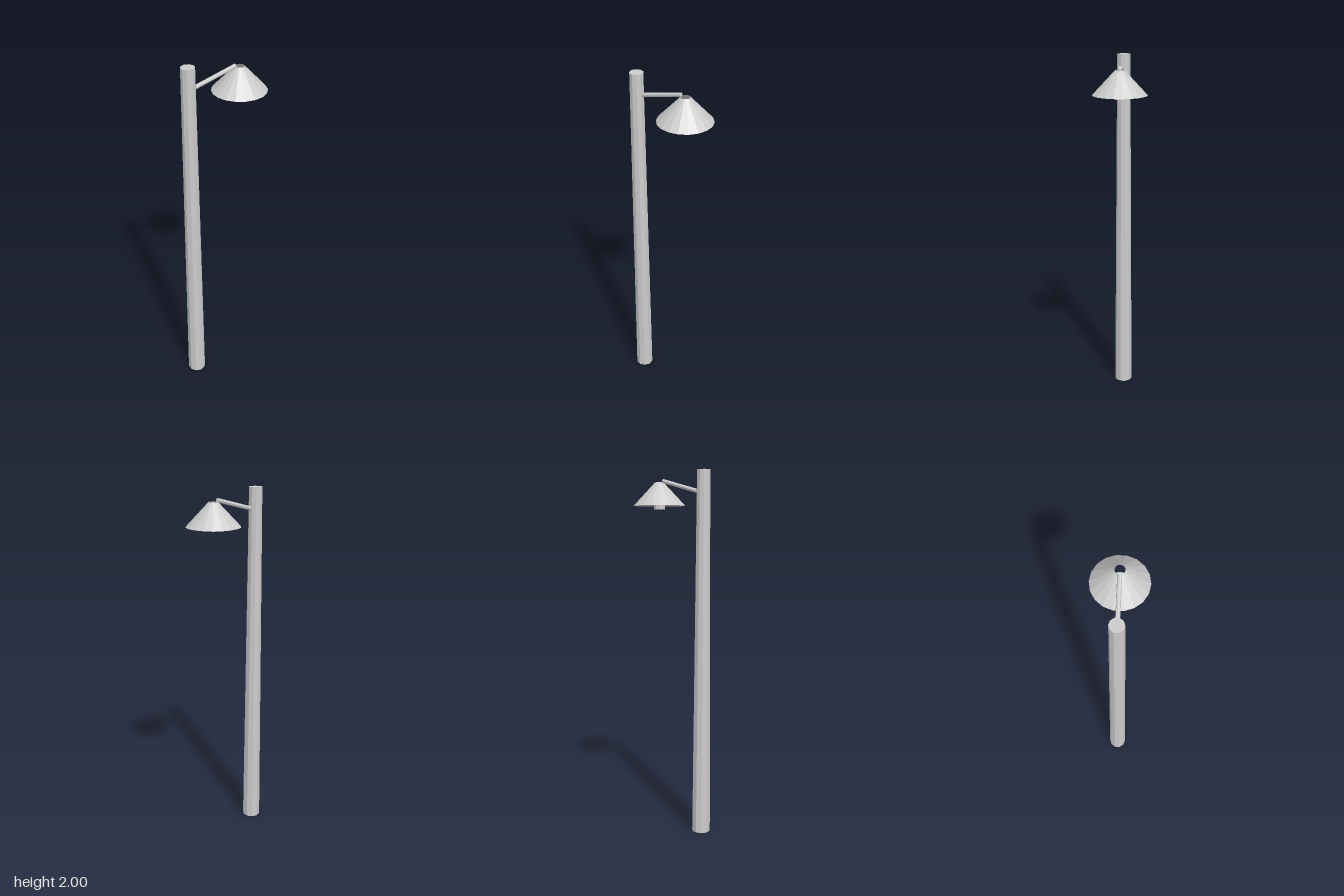
import * as THREE from 'three';

export function createModel() {
  const group = new THREE.Group();
  const poleX = -0.19, lampX = 0.099;
  const solid = new THREE.MeshStandardMaterial({ color: 0xcccccc, flatShading: true });
  const thin = new THREE.MeshStandardMaterial({ color: 0xcccccc, flatShading: true, side: THREE.DoubleSide });

  // Upright tapered cylinder standing between two heights
  function post(name, x, y0, y1, rBottom, rTop, sides, material = solid, open = false) {
    const geometry = new THREE.CylinderGeometry(rTop, rBottom, y1 - y0, sides, 1, open);
    const mesh = new THREE.Mesh(geometry, material);
    mesh.name = name;
    mesh.position.set(x, (y0 + y1) / 2, 0);
    group.add(mesh);
    return mesh;
  }

  // Tapered pole
  post('pole', poleX, 0, 2, 0.052, 0.036, 10);

  // Conical shade, open at both ends, with the bulb inside
  post('shade', lampX, 1.82, 1.945, 0.143, 0.024, 18, thin, true);
  post('bulb', lampX, 1.8, 1.865, 0.032, 0.032, 10);

  // Sloping arm from the pole to the top of the shade
  const start = new THREE.Vector3(-0.17, 1.886, 0);
  const end = new THREE.Vector3(0.073, 1.951, 0);
  const along = end.clone().sub(start);
  const arm = new THREE.Mesh(new THREE.CylinderGeometry(0.011, 0.011, along.length(), 8), solid);
  arm.name = 'arm';
  arm.position.copy(start).add(end).multiplyScalar(0.5);
  arm.quaternion.setFromUnitVectors(new THREE.Vector3(0, 1, 0), along.normalize());
  group.add(arm);

  return group;
}
